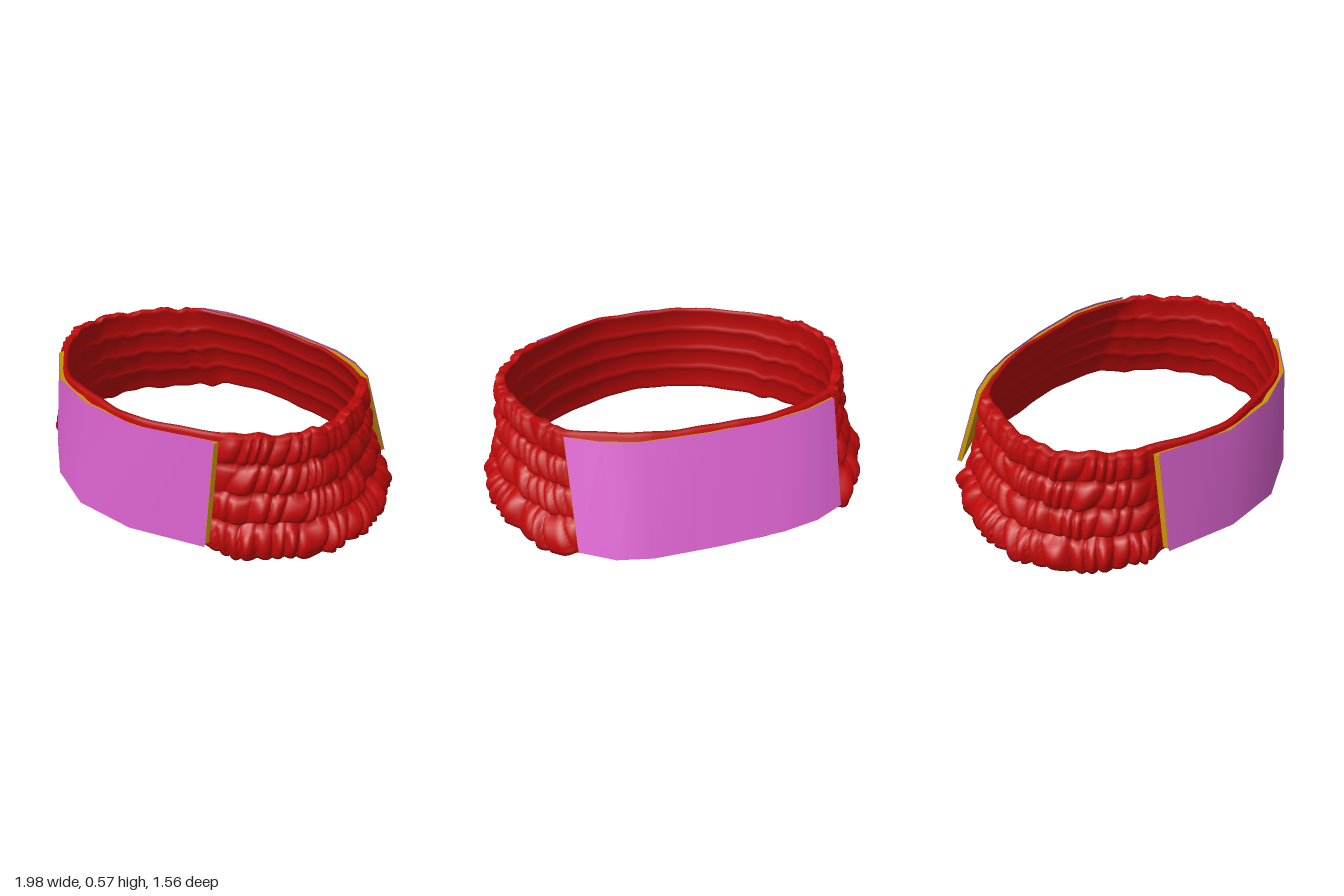
import * as THREE from 'three';

const RED = 0xbe0a0a, PINK = 0xd861cc, GOLD = 0xc8920a;
const { lerp, smoothstep, clamp } = THREE.MathUtils;

// Closed, mirrored plan outline from half-outline points [x, z], front to back
function outline(half) {
  const other = half.slice(1, -1).reverse().map(([x, z]) => [-x, z]);
  const pts = [...half, ...other].map(([x, z]) => new THREE.Vector3(x, 0, z));
  return new THREE.CatmullRomCurve3(pts, true, 'catmullrom', 0.5);
}

// Grid of vertices joined into quads; nu columns, nv rows
function gridGeometry(nu, nv, closeU, closeV, at) {
  const pos = [], idx = [];
  for (let i = 0; i < nu; i++) for (let j = 0; j < nv; j++) pos.push(...at(i, j));
  for (let i = 0; i < (closeU ? nu : nu - 1); i++) {
    for (let j = 0; j < (closeV ? nv : nv - 1); j++) {
      const i2 = (i + 1) % nu, j2 = (j + 1) % nv;
      const a = i * nv + j, b = i2 * nv + j, c = i2 * nv + j2, d = i * nv + j2;
      idx.push(a, b, c, a, c, d);
    }
  }
  const g = new THREE.BufferGeometry();
  g.setAttribute('position', new THREE.Float32BufferAttribute(pos, 3));
  g.setIndex(idx);
  g.computeVertexNormals();
  return g;
}

function mesh(name, geometry, color, side = THREE.FrontSide) {
  const m = new THREE.Mesh(geometry, new THREE.MeshStandardMaterial({ color, side }));
  m.name = name;
  return m;
}

// Elastic band: four gathered rows, pleated at the sides and flat beneath the panels
function ruchedBand() {
  const top = outline([[0, 0.664], [0.3, 0.636], [0.6, 0.465], [0.745, 0.33], [0.828, 0.18], [0.84, 0.04],
    [0.795, -0.13], [0.7, -0.31], [0.6, -0.425], [0.3, -0.535], [0, -0.55]]);
  const bottom = outline([[0, 0.735], [0.3, 0.675], [0.6, 0.515], [0.78, 0.38], [0.9, 0.2], [0.945, 0],
    [0.905, -0.22], [0.78, -0.45], [0.62, -0.605], [0.3, -0.725], [0, -0.74]]);
  const N = 600, ROWS = 4, S = 9, outer = ROWS * S + 1;
  const seams = [0.015, 0.16, 0.295, 0.43, 0.565];
  const sizes = [0.054, 0.036, 0.033, 0.033];
  const at = (i, j) => {
    const u = i / N, a = u * Math.PI * 2;
    const inside = j >= outer;
    const k = inside ? 2 * outer - 1 - j : j;
    const row = Math.min(ROWS - 1, Math.floor(k / S)), s = k / S - row;
    const pt = top.getPoint(u), pb = bottom.getPoint(u);
    const w = smoothstep(Math.abs(pb.x), 0.58, 0.68);
    const t = k / (outer - 1);
    // sides flare more towards the hem
    const p = pt.clone().lerp(pb, Math.pow(1 - t, 1 + 0.7 * w));
    const tan = top.getTangent(u).lerp(bottom.getTangent(u), 1 - t).normalize();
    // rows pinch at the seams but stay open at both hems
    const hem = (row === 0 && s < 0.5) || (row === ROWS - 1 && s > 0.5);
    const puff = Math.max(hem ? 0.55 : 0, Math.pow(Math.max(0, Math.sin(Math.PI * s)), 0.5));
    const phase = 60 * u + 0.4 * Math.sin(7 * a + row * 2) + 0.25 * Math.sin(17 * a + row * 1.3)
      + row * 0.37 + (s - 0.5) * 0.7 * Math.sin(3 * a + row * 0.7);
    const fold = Math.pow(Math.abs(Math.sin(Math.PI * phase)), 0.65);
    const size = sizes[row] * (1 + 0.2 * Math.sin(23 * a + row * 4));
    const off = inside
      ? -0.026 + 0.014 * puff
      : w * (size * puff * (0.45 + 0.55 * fold) + 0.005 * fold) + (1 - w) * 0.004 * puff;
    // uneven hems and seams
    const wave = (0.35 + 0.65 * w) * (0.006 * Math.sin(13 * a + row) + 0.005 * Math.sin(29 * a));
    const lift = (1 - w) * (pb.z < 0 ? 0.035 : 0.02) * (1 - t);
    const y = lerp(seams[row], seams[row + 1], s) + wave + lift;
    return [p.x - tan.z * off, clamp(y, 0, 0.58), p.z + tan.x * off];
  };
  return mesh('ruchedBand', gridGeometry(N, outer * 2, true, true, at), RED);
}

// Curved sloping panel: coloured face over a thin gold backing; rows are [x, zBottom, zTop]
function panel(name, rows, y0, y1) {
  const group = new THREE.Group();
  group.name = name;
  const n = rows.length, dir = Math.sign(rows[0][1]);
  const cols = dir > 0 ? rows : rows.slice().reverse();
  const face = gridGeometry(n, 2, false, false, (i, j) => {
    const [x, zb, zt] = cols[i];
    return [x, j ? y1 : y0, j ? zt : zb];
  });
  group.add(mesh(name + 'Face', face, PINK, THREE.DoubleSide));

  // Backing cross-section, set in from the face edges: outer bottom, outer top, inner top, inner bottom
  const section = (i, j) => {
    const [x, zb, zt] = cols[i];
    const upper = j === 1 || j === 2;
    const z = lerp(zb, zt, upper ? 0.975 : 0.025);
    return [x, lerp(y0, y1, upper ? 0.975 : 0.025), z - dir * (j < 2 ? 0.003 : 0.028)];
  };
  const backing = gridGeometry(n, 4, false, true, section);
  const e = (n - 1) * 4;
  backing.setIndex([...backing.index.array, 0, 1, 2, 0, 2, 3, e, e + 2, e + 1, e, e + 3, e + 2]);
  const flat = backing.toNonIndexed();
  flat.computeVertexNormals();
  group.add(mesh(name + 'Backing', flat, GOLD, THREE.DoubleSide));
  return group;
}

export function createModel() {
  const model = new THREE.Group();
  model.name = 'ruchedBelt';
  model.add(ruchedBand());
  model.add(panel('frontPanel', [[-0.61, 0.56, 0.5], [-0.3, 0.72, 0.67], [0, 0.78, 0.71],
    [0.31, 0.715, 0.665], [0.63, 0.545, 0.495]], 0.05, 0.55));
  model.add(panel('backPanel', [[-0.63, -0.66, -0.46], [-0.48, -0.73, -0.525], [-0.3, -0.765, -0.565],
    [0, -0.782, -0.59], [0.31, -0.782, -0.585], [0.47, -0.75, -0.54], [0.62, -0.66, -0.46]], 0.08, 0.56));
  return model;
}
